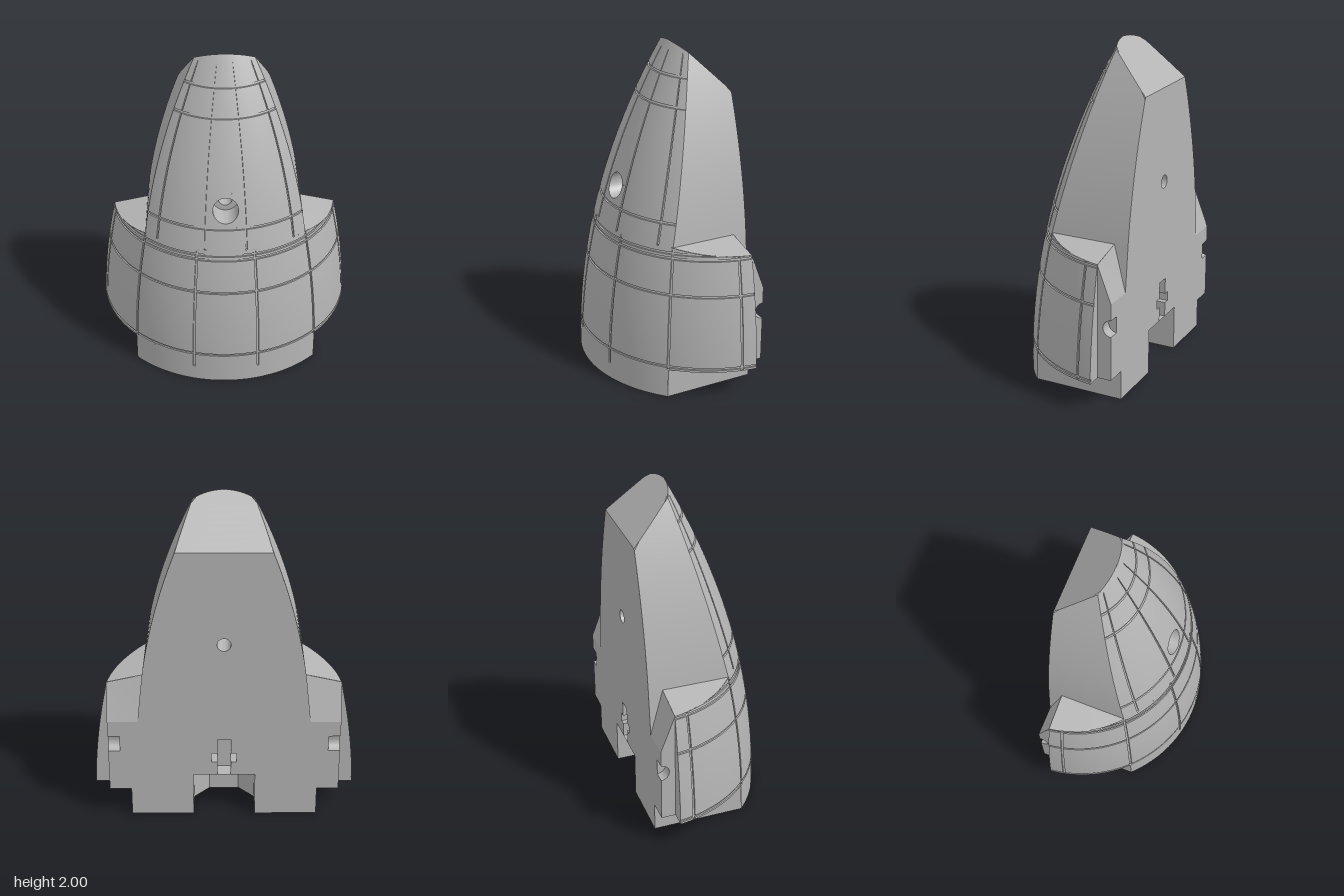
import * as THREE from 'three';
import { toCreasedNormals } from 'three/addons/utils/BufferGeometryUtils.js';

const BACK = -0.395;            // flat rear plane, also the axis of the rounded shell
const END = -0.31;              // rear end of the side shells
const { sin, cos, asin, acos, sqrt, min, max, abs, PI } = Math;

// Shell radius, half width of the trimmed body, and rear limit at each height
const radius = y => 0.79 - 0.127 * y ** 2.04;
const halfWidth = y => { const t = y - 0.92; return 0.48 - 0.125 * t - 0.162 * t * max(t, 0); };
const rear = y => max(BACK, y - 2.125);
const bodyAngle = y => min(asin(min(1, halfWidth(y) / radius(y))), acos(min(1, (rear(y) - BACK) / radius(y))));
const wingAngle = y => acos((END - BACK) / radius(y));
const wingTop = a => 0.92 - 0.227 * max(0, 0.692 * sin(abs(a)) - 0.48);
const onShell = (a, y, depth = 0) => {
  const r = radius(y) - depth;
  return [r * sin(a), y, BACK + r * cos(a)];
};

const range = (a, b, n) => Array.from({ length: n + 1 }, (_, i) => a + (b - a) * i / n);
// Even samples plus tight pairs either side of each groove
function samples(a, b, n, lines, w) {
  const even = range(a, b, n).filter(v => lines.every(l => abs(v - l) > w + 0.002));
  const cuts = lines.flatMap(l => [l - w - 0.001, l - w, l + w, l + w + 0.001]);
  return [...even, ...cuts].sort((p, q) => p - q);
}
const inGroove = (v, lines, w) => lines.some(l => abs(v - l) < w + 0.0001);
const mirrored = list => [...list.map(v => -v), ...list];

// Surface over a grid; u cross v points outward
function grid(us, vs, f, skip) {
  const pos = [], idx = [], n = us.length;
  for (const v of vs) for (const u of us) pos.push(...f(u, v));
  for (let j = 0; j < vs.length - 1; j++) for (let i = 0; i < n - 1; i++) {
    if (skip && skip((us[i] + us[i + 1]) / 2, (vs[j] + vs[j + 1]) / 2)) continue;
    const a = j * n + i;
    idx.push(a, a + 1, a + n + 1, a, a + n + 1, a + n);
  }
  const g = new THREE.BufferGeometry();
  g.setAttribute('position', new THREE.Float32BufferAttribute(pos, 3));
  g.setIndex(idx);
  return toCreasedNormals(g, 0.4);
}
const mix = (p, q, t) => p.map((v, i) => v + (q[i] - v) * t);
const quad = (a, b, c, d) => grid([0, 1], [0, 1], (u, v) => mix(mix(a, b, u), mix(d, c, u), v));
const flat = pts => new THREE.ShapeGeometry(new THREE.Shape(pts.map(p => new THREE.Vector2(...p))));
const symmetric = half => [...half, ...half.map(([x, y]) => [-x, y]).reverse()];
const wall = (pts, f) => grid(range(0, pts.length - 1, pts.length - 1), [0, 1], (i, v) => f(pts[i], v));

export function createModel() {
  const grey = new THREE.MeshStandardMaterial({ color: 0xb4b4b4, side: THREE.DoubleSide });
  grey.name = 'grey';
  const model = new THREE.Group();
  model.name = 'halfShell';
  const add = (name, geo, parent = model) => {
    const m = new THREE.Mesh(geo, grey);
    m.name = name;
    parent.add(m);
    return m;
  };
  const both = (name, geo) => {
    add(name + 'Left', geo);
    add(name + 'Right', geo).scale.x = -1;
  };
  const W = 0.006, DEPTH = 0.008;

  // Nose skin with panel grooves and a window left for the bolt hole
  const noseU = mirrored([0.23, 0.82]), noseY = [1.05, 1.67, 1.83];
  const us = [...samples(-1, 1, 48, noseU, 0.01), -0.18, 0.18].sort((a, b) => a - b);
  const ys = [...samples(0.92, 1.96, 30, noseY, W), 1.06, 1.26, 1.97, 1.98, 1.987, 1.993, 1.997, 2].sort((a, b) => a - b);
  add('noseSkin', grid(us, ys, (u, y) => {
    const cut = y < 1.95 && (inGroove(u, noseU, 0.01) || inGroove(y, noseY, W));
    return onShell(u * bodyAngle(y), y, cut ? DEPTH : 0);
  }, (u, y) => abs(u) < 0.18 && y > 1.06 && y < 1.26));

  // Bolt hole: skin patch, counterbore, ledge and through bore
  const HY = 1.16, HR = 0.075, BR = 0.04, FLOOR = 0.1, turn = range(0, 2 * PI, 64);
  const rim = a => {
    const y = HY + HR * sin(a), x = HR * cos(a);
    return [x, y, BACK + sqrt(radius(y) ** 2 - x * x)];
  };
  add('boltHoleSurround', grid(range(0, 1, 3), turn, (t, a) => {
    const k = 1 / max(abs(cos(a)), abs(sin(a))), yc = HY + HR * sin(a);
    const uc = asin(HR * cos(a) / radius(yc)) / bodyAngle(yc);
    const u = uc + (0.18 * cos(a) * k - uc) * t, y = yc + (HY + 0.1 * sin(a) * k - yc) * t;
    return onShell(u * bodyAngle(y), y);
  }));
  add('counterbore', grid([0, 1], turn, (t, a) => {
    const p = rim(a);
    return [p[0], p[1], FLOOR + (p[2] - FLOOR) * t];
  }));
  add('boltLedge', new THREE.RingGeometry(BR, HR, 64).translate(0, HY, FLOOR));
  add('boltBore', grid([BACK, FLOOR], turn, (z, a) => [BR * cos(a), HY + BR * sin(a), z]));

  // Lower skin wraps round to the ends of the side shells
  const rad = PI / 180, lowA = mirrored([14.5 * rad, 45 * rad, 77 * rad]), lowY = [0.2, 0.645, 0.858, 0.887];
  const E = wingAngle(0.5);
  add('lowerSkin', grid(samples(-E, E, 80, lowA, 0.008), samples(0.18, 0.92, 22, lowY, W), (a, y) => {
    const cut = inGroove(a, lowA, 0.008) || inGroove(y, lowY, W);
    const yy = min(y, wingTop(a));
    return onShell(a * wingAngle(yy) / E, yy, cut && yy < wingTop(a) ? DEPTH : 0);
  }));

  // Foot under the side shells
  const FX = 0.56, footAngle = y => asin(FX / radius(y));
  const footLines = mirrored([14.5 * rad / footAngle(0.1)]);
  add('footSkin', grid(samples(-1, 1, 40, footLines, 0.01), [0, 0.1, 0.101, 0.18], (u, y) =>
    onShell(u * footAngle(y), y, y > 0.1 && inGroove(u, footLines, 0.01) ? DEPTH : 0)));
  both('footSide', grid([0, 1], [0, 0.18], (t, y) => {
    const z = onShell(footAngle(y), y)[2];
    return [FX, y, z + (BACK - z) * t];
  }));

  // Flat curved-edge sides of the nose and the slanted cut behind its tip
  const sideYs = [...range(0.92, 1.96, 26), 1.97];
  both('noseSide', grid([0, 1], sideYs, (t, y) => {
    const p = onShell(bodyAngle(y), y);
    return [p[0], y, p[2] + (min(p[2], rear(y)) - p[2]) * t];
  }));
  both('noseSideLower', quad([0.48, 0.92, END], [0.51, 0.65, BACK], [0.48, 0.92, BACK], [0.48, 0.92, END]));
  add('slantedTip', grid([1, -1], [...range(1.73, 1.97, 8), 1.98, 1.987, 1.993, 1.997, 2], (u, y) =>
    [u * radius(y) * sin(bodyAngle(y)), y, rear(y)]));

  // Side shell closing faces: sloping top, rear bevel, end, inner side, underside
  const BX = 0.69, TOP = 0.872;
  both('shoulderTop', grid([0, 1], range(asin(0.48 / radius(0.92)), wingAngle(TOP), 24), (t, a) => {
    const p = onShell(a, wingTop(a));
    return mix(p, [0.48, 0.92, p[2]], t);
  }));
  both('shoulderBevel', quad([BX, TOP, END], [BX, 0.65, BACK], [0.51, 0.65, BACK], [0.48, 0.92, END]));
  both('shellEnd', grid([1, 0], range(0.18, TOP, 12), (t, y) => {
    const x = sqrt(radius(y) ** 2 - (END - BACK) ** 2);
    return [BX + (x - BX) * t, y, END];
  }));
  both('shellUnderside', grid([0, 1], range(footAngle(0.18), wingAngle(0.18), 24), (t, a) => {
    const p = onShell(a, 0.18);
    return mix([FX, 0.18, p[2]], p, t);
  }));
  both('blockUnderside', quad([FX, 0.18, BACK], [BX, 0.18, BACK], [BX, 0.18, END], [FX, 0.18, END]));

  // Inner block side with a half-round socket
  const SY = 0.5, SR = 0.05, SX = 0.62;
  const arc = range(-PI / 2, PI / 2, 16).map(a => [SR * cos(a), SY + SR * sin(a)]);
  const depth = END - BACK;
  const side = flat([[0, 0.18], [depth, 0.18], [depth, TOP], [0, 0.65], ...arc.slice().reverse()]);
  both('blockSide', side.rotateY(-PI / 2).scale(-1, 1, 1).translate(BX, 0, BACK));
  both('socketWall', wall(arc, (p, t) => [SX + (BX - SX) * t, p[1], BACK + p[0]]));
  both('socketEnd', flat(arc).rotateY(-PI / 2).translate(SX, 0, BACK));

  // Rear face with the bottom pocket, keyed slot and bolt bore
  const PX = 0.185, PY = 0.28, slotDepth = 0.1;
  const slot = [[0.04, PY], [0.04, 0.37], [0.075, 0.37], [0.075, 0.43], [0.04, 0.43], [0.04, 0.53]];
  const outline = [[PX, PY], [PX, 0], [FX, 0], [FX, 0.18], [BX, 0.18], [BX, SY - SR], [SX, SY - SR],
    [SX, SY + SR], [BX, SY + SR], [BX, 0.65], [0.51, 0.65],
    ...range(0.92, 1.73, 20).map(y => [halfWidth(y), y])];
  const backShape = new THREE.Shape(
    symmetric([...slot.slice().reverse(), ...outline]).map(p => new THREE.Vector2(...p)));
  backShape.holes.push(new THREE.Path().absarc(0, HY, BR, 0, 2 * PI, true));
  add('rearFace', new THREE.ShapeGeometry(backShape, 32).rotateY(PI).translate(0, 0, BACK));
  add('slotWalls', wall(symmetric(slot), (p, t) => [p[0], p[1], BACK + slotDepth * (1 - t)]));
  add('slotEnd', flat(symmetric(slot)).rotateY(PI).translate(0, 0, BACK + slotDepth));

  // Pocket and underside
  const pocket = symmetric([[PX, BACK], [PX, -0.22], [0.09, -0.12]]);
  add('pocketWalls', wall(pocket, (p, t) => [p[0], PY * (1 - t), p[1]]));
  add('pocketCeiling', flat(pocket).rotateX(PI / 2).translate(0, PY, 0));
  const footArc = range(footAngle(0), -footAngle(0), 40).map(a => { const p = onShell(a, 0); return [p[0], p[2]]; });
  add('underside', flat([[FX, BACK], ...footArc, [-FX, BACK], ...pocket.slice().reverse()]).rotateX(PI / 2));
  return model;
}
